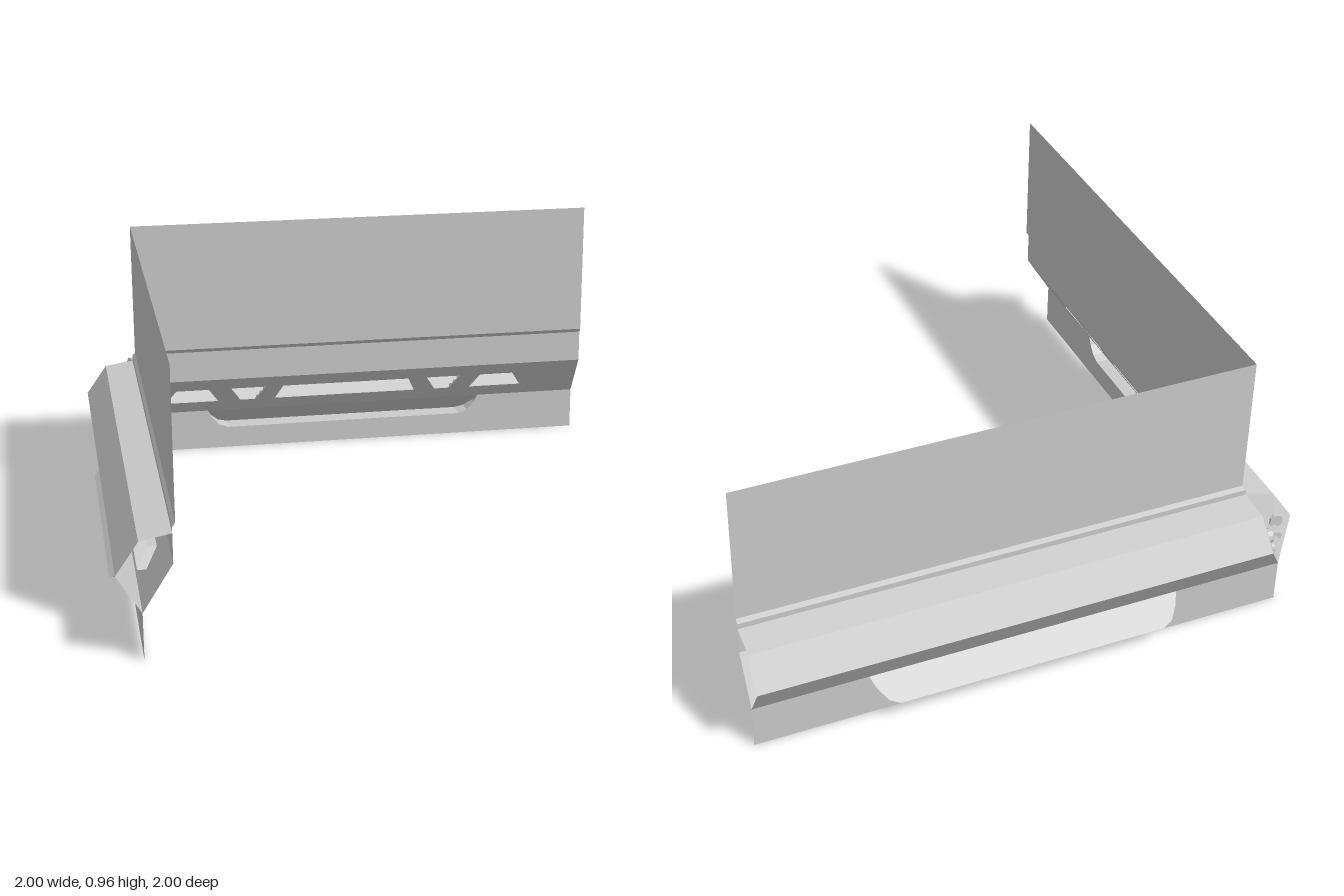
import * as THREE from 'three';

const OUT = 0.92;                                  // outward distance of the lower wall
const slopeD = y => 0.92 - 0.1 * (y - 0.16) / 0.16;  // inward-leaning band above it
const scoopD = y => 0.92 + 0.08 * (0.16 - y) / 0.075; // outward-leaning scoop

// Quads between two rows of points
function strip(a, b) {
  const pos = [];
  for (let i = 0; i < a.length - 1; i++) {
    pos.push(...a[i], ...a[i + 1], ...b[i + 1], ...a[i], ...b[i + 1], ...b[i]);
  }
  return polys(pos);
}

function polys(pos) {
  const g = new THREE.BufferGeometry();
  g.setAttribute('position', new THREE.Float32BufferAttribute(pos, 3));
  return g;
}

// Flat outline in x and y, pushed back by a rule of its height
function lay(outline, depth, holes = []) {
  const shape = new THREE.Shape(outline.map(p => new THREE.Vector2(...p)));
  holes.forEach(h => shape.holes.push(new THREE.Path(h.map(p => new THREE.Vector2(...p)))));
  const g = new THREE.ShapeGeometry(shape);
  const p = g.attributes.position;
  for (let i = 0; i < p.count; i++) p.setZ(i, -depth(p.getY(i)));
  return g;
}

// Run of a [outward, height, start] profile along x to the open end
function run(profile) {
  const ends = [], starts = [];
  profile.forEach(([d, y, x]) => { starts.push([x, y, -d]); ends.push([1, y, -d]); });
  return strip(ends, starts);
}

// Same part for the other wall: swap x and z and keep the faces outward
function swapped(geometry) {
  const g = geometry.clone();
  const p = g.attributes.position;
  for (let i = 0; i < p.count; i++) p.setXYZ(i, p.getZ(i), p.getY(i), p.getX(i));
  for (let i = 0; i < p.count; i += 3) {
    const b = new THREE.Vector3().fromBufferAttribute(p, i + 1);
    const c = new THREE.Vector3().fromBufferAttribute(p, i + 2);
    p.setXYZ(i + 1, c.x, c.y, c.z);
    p.setXYZ(i + 2, b.x, b.y, b.z);
  }
  return g;
}

export function createModel() {
  const model = new THREE.Group();
  model.name = 'cornerWalls';
  const thin = new THREE.MeshStandardMaterial({ color: 0xcccccc, flatShading: true, side: THREE.DoubleSide });
  const solid = new THREE.MeshStandardMaterial({ color: 0xcccccc, flatShading: true });
  const walls = ['backWall', 'sideWall'].map(name => {
    const g = new THREE.Group();
    g.name = name;
    model.add(g);
    return g;
  });

  function add(name, geometry, material = thin) {
    const flat = geometry.index ? geometry.toNonIndexed() : geometry;
    [flat, swapped(flat)].forEach((g, i) => {
      g.computeVertexNormals();
      const mesh = new THREE.Mesh(g, material);
      mesh.name = name;
      walls[i].add(mesh);
    });
  }

  // Upper wall with its small ledge
  add('upperWall', run([[0.81, 0.96, -0.81], [0.81, 0.455, -0.81], [0.82, 0.44, -0.82], [0.82, 0.32, -0.82]]));

  // Lower wall, notched for the scoop
  const scoop = [[-0.52, 0.16], [-0.505, 0.13], [-0.475, 0.098], [-0.44, 0.085],
    [0.52, 0.085], [0.555, 0.098], [0.585, 0.13], [0.6, 0.16]];
  add('lowerWall', lay([[-OUT, 0], [1, 0], [1, 0.16], ...[...scoop].reverse(), [-OUT, 0.16]], () => OUT));

  // Scoop: leaning face, and the floor with its curved ends
  add('scoopFace', lay(scoop, scoopD));
  add('scoopFloor', strip(scoop.map(([x, y]) => [x, y, -OUT]), scoop.map(([x, y]) => [x, y, -scoopD(y)])));

  // Sloped band with vents: [bottom left, bottom right, top left, top right]
  const low = 0.208, high = 0.27;
  const vents = [[-0.69, -0.48, -0.65, -0.52], [-0.39, -0.33, -0.43, -0.29], [-0.25, 0.325, -0.22, 0.295],
    [0.41, 0.47, 0.37, 0.51], [0.555, 0.77, 0.595, 0.73]];
  const outlines = vents.map(([a, b, c, d]) => [[a, low], [b, low], [d, high], [c, high]]);
  add('ventBand', lay([[-0.92, 0.16], [1, 0.16], [1, 0.32], [-0.82, 0.32]], slopeD, outlines));

  // Vent rims and slats
  vents.forEach(([a, b, c, d], i) => {
    const loop = [...outlines[i], outlines[i][0]];
    add('ventRim', strip(loop.map(([x, y]) => [x, y, -slopeD(y)]),
      loop.map(([x, y]) => [x, y, -slopeD(y) - 0.03])));
    for (const y of [0.21, 0.23, 0.25]) {
      const row = (h, back) => {
        const t = (h - low) / (high - low);
        return [a + (c - a) * t, b + (d - b) * t].map(x => [x, h, -slopeD(y) - back]);
      };
      add('ventSlat', strip(row(y, 0.004), row(y + 0.016, 0.03)));
    }
  });

  // Outer duct along the back of the band
  const W = [0.82, 0.42, -0.82], Q = [0.925, 0.4, -0.83], B = [1, 0.29, -0.84], M = [OUT, 0.16, -OUT];
  add('outerDuct', run([W, Q, B, M]));

  // Duct end at the corner, with two studs
  const [m, w, q, b] = [M, W, Q, B].map(([d, y, x]) => [x, y, -d]);
  add('ductEnd', polys([...m, ...w, ...q, ...m, ...q, ...b]), solid);
  [[-0.86, 0.305, 0.026], [-0.875, 0.25, 0.019]].forEach(([x, y, r]) => {
    const stud = new THREE.CylinderGeometry(r, r, 0.02, 10);
    stud.rotateZ(Math.PI / 2).translate(x, y, -0.925);
    add('ductStud', stud, solid);
  });

  return model;
}
